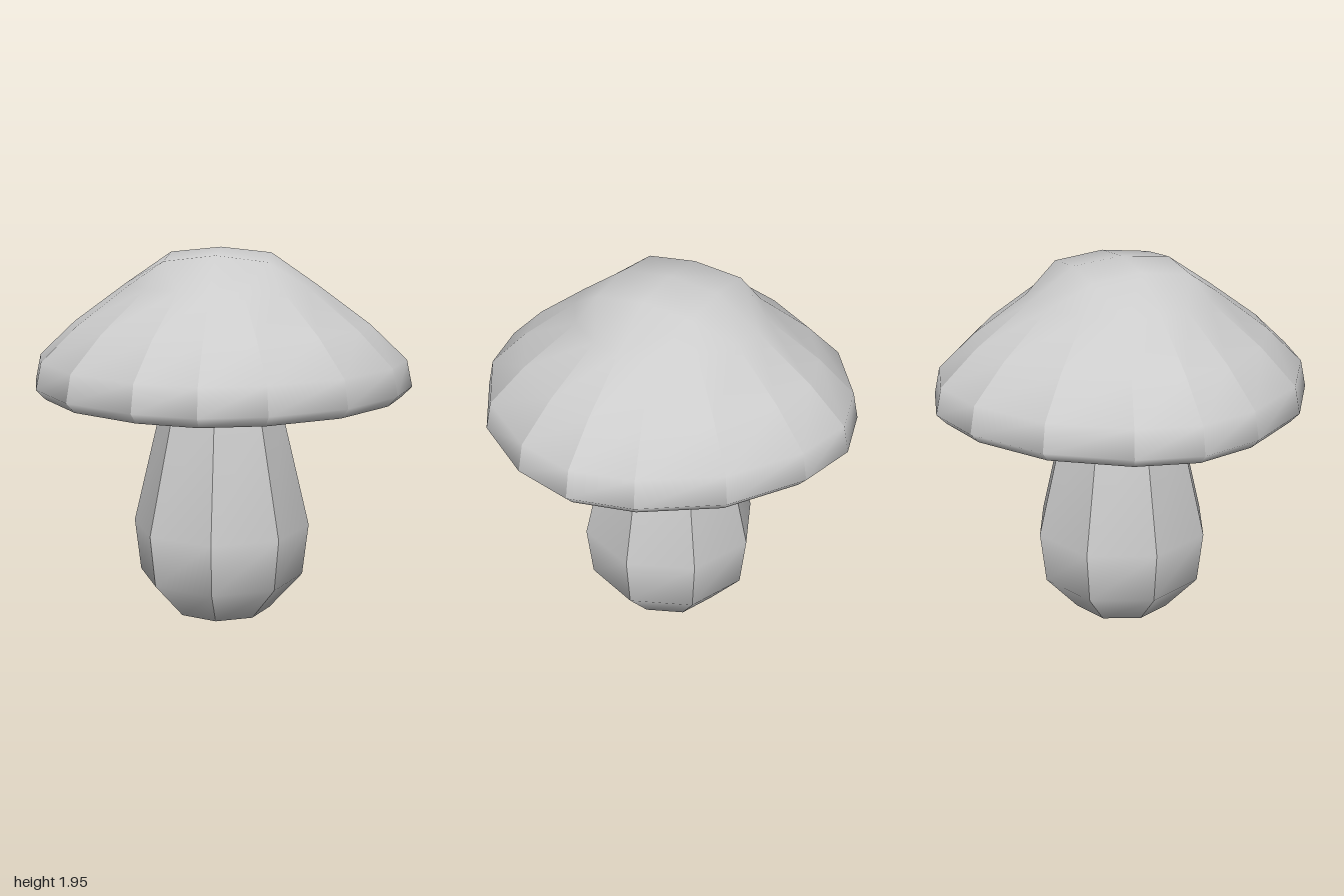
import * as THREE from 'three';
import { mergeVertices } from 'three/addons/utils/BufferGeometryUtils.js';

const material = new THREE.MeshStandardMaterial({ color: 0xcccccc });

// Angle (degrees), radius factor and share of the dip for the corners of one quarter of the cap
const CORNERS = [[0, 1, 1], [19.2, 0.974, 0.6], [45, 0.962, 0], [70.8, 0.974, 0.6]];

// A 16-cornered ring; dip lowers it near the axes
function capRing(r, y, dip = 0) {
  return Array.from({ length: 16 }, (_, i) => {
    const [deg, f, d] = CORNERS[i % 4];
    const a = THREE.MathUtils.degToRad(deg + 90 * Math.floor(i / 4));
    return new THREE.Vector3(r * f * Math.cos(a), y - dip * d, r * f * Math.sin(a));
  });
}

// The small square of 8 points round the crown, shared out over the 16 corners
function crown(half, yAxis, yCorner) {
  return Array.from({ length: 16 }, (_, i) => {
    const onAxis = i % 4 === 0;
    const a = (Math.floor(i / 4) + (onAxis ? 0 : 0.5)) * Math.PI / 2;
    const x = Math.sign(Math.round(Math.cos(a) * 10));
    const z = Math.sign(Math.round(Math.sin(a) * 10));
    return new THREE.Vector3(half * x, onAxis ? yAxis : yCorner, half * z);
  });
}

// A plain 8-sided ring
function stemRing([r, y]) {
  return Array.from({ length: 8 }, (_, i) => {
    const a = (i * Math.PI) / 4;
    return new THREE.Vector3(r * Math.cos(a), y, r * Math.sin(a));
  });
}

// Skin rings from the top down; corners with the same smoothing tag share a normal
function skin(rings, tag) {
  const n = rings[0].length;
  const pos = [];
  const tags = [];
  const tri = (row, col, ...corners) => {
    const [a, b, c] = corners.map(([k, i]) => rings[k][i]);
    if (b.clone().sub(a).cross(c.clone().sub(a)).length() < 1e-6) return;
    for (const [k, i] of corners) {
      pos.push(...rings[k][i].toArray());
      tags.push(tag(row, col, k));
    }
  };
  for (let k = 0; k < rings.length - 1; k++) {
    for (let i = 0; i < n; i++) {
      const j = (i + 1) % n;
      tri(k, i, [k, i], [k, j], [k + 1, j]);
      tri(k, i, [k, i], [k + 1, j], [k + 1, i]);
    }
  }
  const g = new THREE.BufferGeometry();
  g.setAttribute('position', new THREE.Float32BufferAttribute(pos, 3));
  g.setAttribute('tag', new THREE.Float32BufferAttribute(tags, 1));
  const merged = mergeVertices(g);
  merged.deleteAttribute('tag');
  merged.computeVertexNormals();
  return merged;
}

function addPart(group, name, geometry) {
  const mesh = new THREE.Mesh(geometry, material);
  mesh.name = name;
  group.add(mesh);
}

export function createModel() {
  const model = new THREE.Group();

  // Cap top: smooth crown, turning into 16 upright facets towards the rim
  addPart(model, 'capTop', skin([
    capRing(0, 1.945),
    crown(0.262, 1.918, 1.887),
    capRing(0.5, 1.755),
    capRing(0.78, 1.55),
    capRing(0.97, 1.37),
    capRing(1, 1.23),
    capRing(0.95, 1.178),
  ], (row, col, ring) => (ring <= 2 ? -1 : col)));

  // Cap underside: flat rim, short inner wall and a shallow ceiling that meets the stem
  addPart(model, 'capUnderside', skin([
    capRing(0.95, 1.178),
    capRing(0.81, 1.178, 0.018),
    capRing(0.79, 1.34),
    capRing(0.2, 1.45),
  ], (row, col) => row * 16 + col));

  // Stem: eight sides, bulging near the foot, each smooth along its height
  const profile = [[0.225, 1.5], [0.305, 1.17], [0.472, 0.47], [0.44, 0.195], [0.265, 0], [0, 0]];
  addPart(model, 'stem', skin(
    profile.map(stemRing),
    (row, col) => (row === profile.length - 2 ? -1 : col),
  ));

  return model;
}
